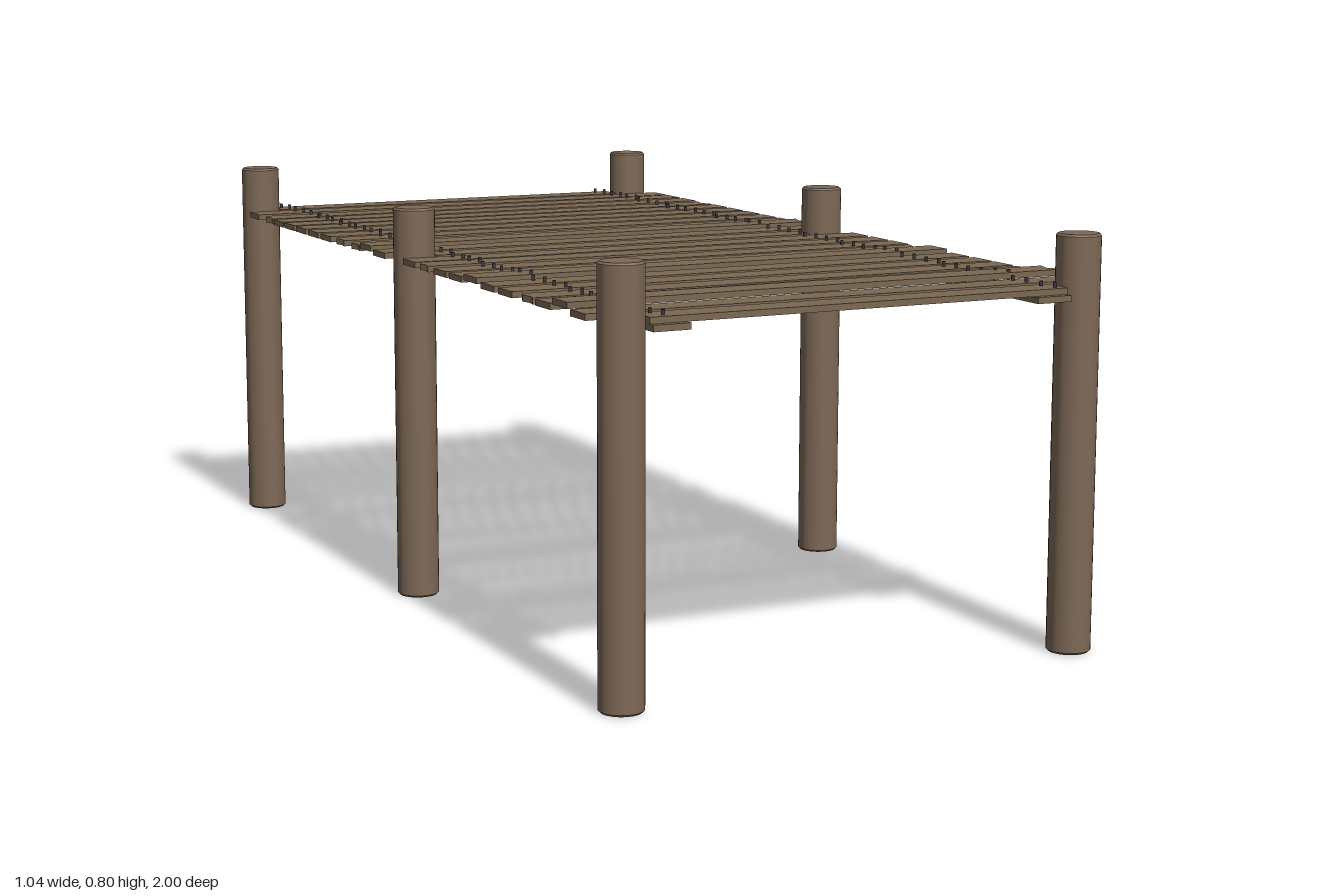
import * as THREE from 'three';
import { toCreasedNormals } from 'three/addons/utils/BufferGeometryUtils.js';

const mat = (name, color) => {
  const m = new THREE.MeshStandardMaterial({ color });
  m.name = name;
  return m;
};

export function createModel() {
  const group = new THREE.Group();
  group.name = 'woodenPier';
  const postWood = mat('post wood', 0x7d6856);
  const plankWood = mat('plank wood', 0x7a6852);
  const iron = mat('nail iron', 0x3a3b42);

  const add = (name, geometry, material, x, y, z, parent = group) => {
    const mesh = new THREE.Mesh(geometry, material);
    mesh.name = name;
    mesh.position.set(x, y, z);
    parent.add(mesh);
    return mesh;
  };

  // Six round posts with softened rims
  const r = 0.042, h = 0.795, c = 0.004;
  const profile = [[0, 0], [r - c, 0], [r, c], [r, h - c], [r - c, h], [0, h]]
    .map(([x, y]) => new THREE.Vector2(x, y));
  const postGeo = toCreasedNormals(new THREE.LatheGeometry(profile, 32), 0.5);
  for (const z of [-0.956, 0, 0.955])
    for (const x of [-0.478, 0.462]) add('post', postGeo, postWood, x, 0, z);

  // Two long rails under the deck
  const railGeo = new THREE.BoxGeometry(0.073, 0.012, 1.995);
  for (const x of [-0.401, 0.383]) add('rail', railGeo, plankWood, x, 0.68, 0);

  // A plank outline seen from above: plain, notched on one end, or split on the other
  const T = 0.012, W = 0.0315;
  function plankGeo(x0, x1, style) {
    const pts = [[x0, -W]];
    if (style === 'notch') pts.push([x1 - 0.002, -W], [x1, -W * 0.7], [x1 - 0.014, 0], [x1 - 0.004, W]);
    else pts.push([x1, -W], [x1, W]);
    if (style === 'split') pts.push([x0 + 0.008, W], [x0, 0.012], [x0 + 0.005, -0.01]);
    else pts.push([x0, W]);
    const shape = new THREE.Shape(pts.map(([x, y]) => new THREE.Vector2(x, y)));
    const geo = new THREE.ExtrudeGeometry(shape, { depth: T, bevelEnabled: false });
    return geo.rotateX(-Math.PI / 2);
  }
  const plankGeos = {
    short: plankGeo(-0.437, 0.42, 'plain'),
    plain: plankGeo(-0.52, 0.515, 'plain'),
    notch: plankGeo(-0.52, 0.515, 'notch'),
    split: plankGeo(-0.52, 0.515, 'split'),
  };

  // Planks from back to front: z, style, yaw, lift
  const planks = [
    [-0.958, 'short'], [-0.878, 'plain'], [-0.796, 'split', 0.022], [-0.717, 'plain', 0.013],
    [-0.638, 'notch'], [-0.563, 'plain'], [-0.484, 'plain'], [-0.405, 'plain'],
    [-0.325, 'split'], [-0.241, 'split', 0.012], [-0.167, 'notch', 0, 0.006], [-0.09, 'plain'],
    [-0.008, 'short'], [0.077, 'plain'], [0.153, 'split', -0.013], [0.238, 'plain'],
    [0.315, 'notch'], [0.389, 'plain', 0, 0.006], [0.471, 'plain'], [0.553, 'plain'],
    [0.637, 'split', 0.016], [0.714, 'plain', 0.013], [0.794, 'notch', 0, 0.011],
    [0.868, 'plain'], [0.952, 'short'],
  ];

  // Nails driven through every plank into the rails
  const nailGeo = new THREE.CylinderGeometry(0.0035, 0.0035, 0.033, 8);
  planks.forEach(([z, style, yaw = 0, lift = 0], i) => {
    const plank = add('plank', plankGeos[style], plankWood, 0, 0.686 + lift, z);
    plank.rotation.y = yaw;
    const shift = ((i * 7) % 5 - 2) * 0.003;
    for (const x of [-0.412, 0.395])
      for (const s of [-1, 1])
        add('nail', nailGeo, iron, x + shift + s * 0.005, 0.005 - lift / 2, s * 0.015, plank);
  });

  return group;
}
